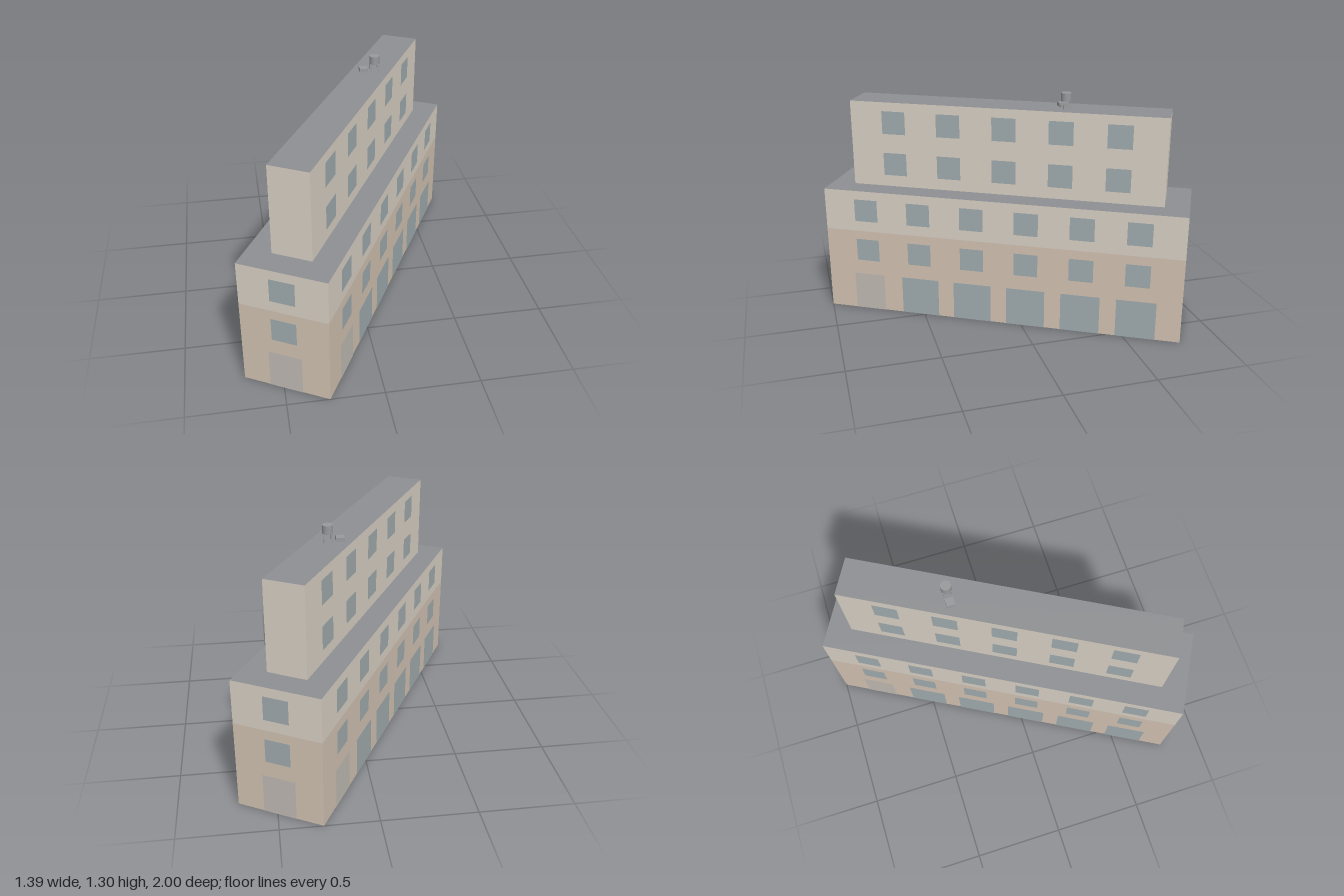
import * as THREE from 'three';

const paint = (color) => new THREE.MeshStandardMaterial({ color });

export function createModel() {
  const model = new THREE.Group();
  model.name = 'apartmentBlock';

  const brick = paint(0xd2c2b2);
  const plaster = paint(0xd8d0c5);
  const roof = paint(0x8e8f92);
  const glass = paint(0xa0abae);
  const door = paint(0xc0bab3);
  const metal = paint(0x98999b);

  // Building stands at an angle to the street grid
  const building = new THREE.Group();
  building.name = 'building';
  building.rotation.y = 1.0685;
  model.add(building);

  const base = { hx: 1.0115, hz: 0.2355 };
  const tower = { hx: 0.8785, hz: 0.106 };

  // Wall block with a grey roof and underside
  function block(name, { hx, hz }, y0, y1, wall) {
    const mesh = new THREE.Mesh(
      new THREE.BoxGeometry(2 * hx, y1 - y0, 2 * hz),
      [wall, wall, roof, roof, wall, wall]
    );
    mesh.name = name;
    mesh.position.y = (y0 + y1) / 2;
    building.add(mesh);
  }
  block('lowerFloors', base, 0, 0.485, brick);
  block('thirdFloor', base, 0.485, 0.725, plaster);
  block('upperFloors', tower, 0.725, 1.21, plaster);

  // Flat pane on one facade; u runs left to right seen from outside
  function pane(facade, name, u, y0, y1, width, material) {
    const mesh = new THREE.Mesh(new THREE.PlaneGeometry(width, y1 - y0), material);
    mesh.name = name;
    mesh.position.set(u, (y0 + y1) / 2, 0);
    facade.add(mesh);
  }

  function addFacade(name, angle, distance) {
    const facade = new THREE.Group();
    facade.name = name;
    facade.rotation.y = angle;
    facade.position.set(Math.sin(angle), 0, Math.cos(angle)).multiplyScalar(distance + 0.002);
    building.add(facade);
    return facade;
  }

  const baseRows = [[0.305, 0.435], [0.545, 0.675]];
  const towerRows = [[0.79, 0.92], [1.03, 1.16]];

  // The two long and two short sides repeat after a half turn
  for (const turn of [0, Math.PI]) {
    const long = addFacade('longFacade', turn, base.hz);
    for (let i = 0; i < 6; i++) {
      const u = (i - 2.5) * 0.307;
      for (const [y0, y1] of baseRows) pane(long, 'window', u, y0, y1, 0.134, glass);
      if (i === 0) pane(long, 'door', u, 0, 0.22, 0.178, door);
      else pane(long, 'shopWindow', u, 0, 0.22, 0.217, glass);
    }

    const end = addFacade('endFacade', turn + Math.PI / 2, base.hx);
    for (const [y0, y1] of baseRows) pane(end, 'window', 0, y0, y1, 0.134, glass);
    pane(end, 'door', 0, 0, 0.22, 0.178, door);

    const upper = addFacade('upperFacade', turn, tower.hz);
    for (let i = 0; i < 5; i++) {
      for (const [y0, y1] of towerRows) pane(upper, 'window', (i - 2) * 0.314, y0, y1, 0.134, glass);
    }
  }

  // Water tank on four legs
  const waterTank = new THREE.Group();
  waterTank.name = 'waterTank';
  waterTank.position.set(0.17, 1.21, -0.275);
  model.add(waterTank);
  const tank = new THREE.Mesh(new THREE.CylinderGeometry(0.028, 0.028, 0.045, 20), metal);
  tank.name = 'tank';
  tank.position.y = 0.0635;
  waterTank.add(tank);
  for (const x of [-1, 1]) for (const z of [-1, 1]) {
    const leg = new THREE.Mesh(new THREE.BoxGeometry(0.005, 0.042, 0.005), metal);
    leg.name = 'tankLeg';
    leg.position.set(x * 0.02, 0.021, z * 0.02);
    waterTank.add(leg);
  }

  // Ventilation box
  const vent = new THREE.Mesh(new THREE.BoxGeometry(0.045, 0.02, 0.045), metal);
  vent.name = 'roofVent';
  vent.position.set(0.107, 1.22, -0.275);
  model.add(vent);

  return model;
}
